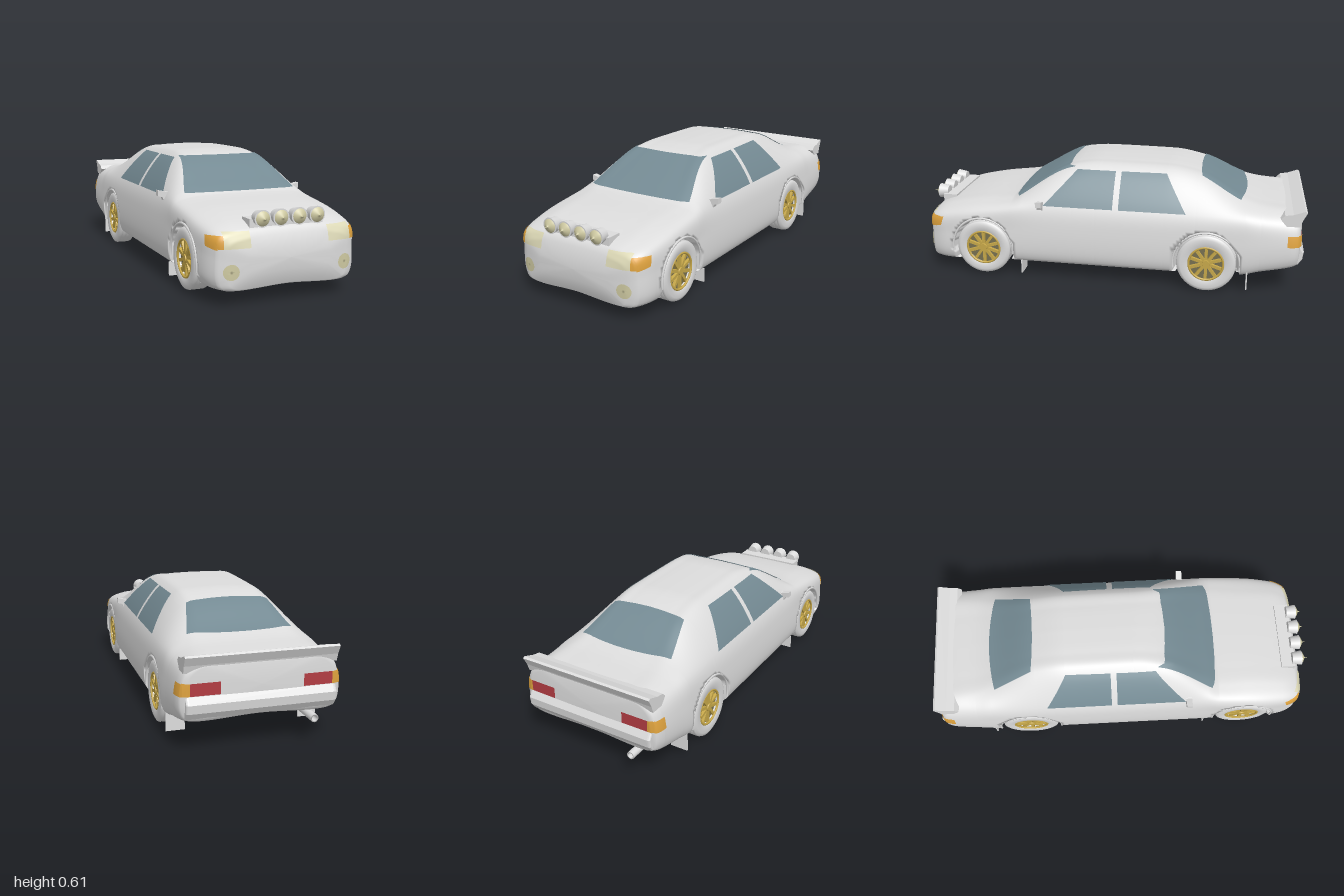
import * as THREE from 'three';

const paint = (name, color, side = THREE.FrontSide) => {
  const m = new THREE.MeshStandardMaterial({ color, side });
  m.name = name;
  return m;
};
const lerp = THREE.MathUtils.lerp;

// Body stations: z, floor y, half width, shoulder x, shoulder y, roof edge x, roof edge y, top y
const STATIONS = [
  [0.97, 0.15, 0.2, 0.2, 0.22, 0.14, 0.24, 0.25],
  [0.955, 0.085, 0.29, 0.285, 0.27, 0.2, 0.295, 0.305],
  [0.93, 0.075, 0.335, 0.325, 0.3, 0.25, 0.325, 0.335],
  [0.85, 0.075, 0.365, 0.352, 0.32, 0.27, 0.355, 0.365],
  [0.7, 0.08, 0.378, 0.362, 0.35, 0.27, 0.385, 0.395],
  [0.5, 0.09, 0.378, 0.36, 0.38, 0.28, 0.41, 0.42],
  [0.44, 0.09, 0.378, 0.357, 0.39, 0.28, 0.44, 0.455],
  [0.17, 0.09, 0.378, 0.352, 0.4, 0.215, 0.578, 0.592],
  [0.05, 0.09, 0.378, 0.352, 0.4, 0.205, 0.59, 0.606],
  [-0.3, 0.09, 0.378, 0.352, 0.4, 0.205, 0.586, 0.603],
  [-0.46, 0.09, 0.378, 0.352, 0.4, 0.205, 0.56, 0.575],
  [-0.7, 0.1, 0.378, 0.352, 0.395, 0.25, 0.452, 0.462],
  [-0.78, 0.12, 0.376, 0.35, 0.385, 0.27, 0.432, 0.442],
  [-0.92, 0.15, 0.37, 0.345, 0.375, 0.28, 0.418, 0.425],
  [-0.965, 0.165, 0.358, 0.335, 0.37, 0.28, 0.408, 0.415],
  [-0.975, 0.19, 0.335, 0.322, 0.35, 0.27, 0.39, 0.395],
];
const WHEELS = [{ z: 0.645, r: 0.145, y: 0.156 }, { z: -0.52, r: 0.15, y: 0.15 }];

// Monotone cubic interpolation between stations
function station(z) {
  const S = STATIONS, last = S.length - 1;
  let i = 0;
  while (i < last - 1 && z < S[i + 1][0]) i++;
  const slope = (k, c) => (S[k + 1][c] - S[k][c]) / (S[k + 1][0] - S[k][0]);
  const tangent = (k, c) => {
    if (k === 0) return slope(0, c);
    if (k === last) return slope(last - 1, c);
    const a = slope(k - 1, c), b = slope(k, c);
    return a * b <= 0 ? 0 : (2 * a * b) / (a + b);
  };
  const h = S[i + 1][0] - S[i][0], t = (z - S[i][0]) / h, t2 = t * t, t3 = t2 * t;
  return S[i].map((v, c) => (2 * t3 - 3 * t2 + 1) * v + (t3 - 2 * t2 + t) * h * tangent(i, c)
    + (3 * t2 - 2 * t3) * S[i + 1][c] + (t3 - t2) * h * tangent(i + 1, c));
}

// Lofted shell, pressed in around each wheel to make the wheel wells
function bodyGeometry() {
  const zs = STATIONS.map(s => s[0]);
  for (let i = 1; i < 125; i++) zs.push(lerp(0.955, -0.965, i / 125));
  zs.sort((a, b) => b - a);
  const HALF = 63, M = HALF * 2, pos = [], idx = [];
  const cap = (z, y) => { for (let j = 0; j < M; j++) pos.push(0, y, z); };
  cap(0.972, 0.2);
  for (const z of zs) {
    const [, yb, w, sx, sy, ex, ey, yt] = station(z);
    const curve = new THREE.CatmullRomCurve3([
      [0, yb], [w * 0.93, yb], [w, yb + 0.035], [w + 0.003, lerp(yb, sy, 0.6)],
      [sx, sy], [ex, ey], [ex * 0.6, lerp(ey, yt, 0.75)], [0, yt],
    ].map(([x, y]) => new THREE.Vector3(x, y, 0)), false, 'centripetal');
    for (let j = 0; j < M; j++) {
      const p = curve.getPoint((j <= HALF ? j : M - j) / HALF);
      if (WHEELS.some(q => Math.hypot(z - q.z, p.y - q.y) < q.r + 0.014)) p.x = Math.min(p.x, 0.265);
      pos.push(j <= HALF ? p.x : -p.x, p.y, z);
    }
  }
  cap(-0.977, 0.3);
  for (let i = 0; i < zs.length + 1; i++) for (let j = 0; j < M; j++) {
    const k = (j + 1) % M, a = i * M + j, b = i * M + k;
    idx.push(a, a + M, b, b, a + M, b + M);
  }
  const g = new THREE.BufferGeometry();
  g.setAttribute('position', new THREE.Float32BufferAttribute(pos, 3));
  g.setIndex(idx);
  g.computeVertexNormals();
  return g;
}

export function createModel() {
  const car = new THREE.Group();
  const D = THREE.DoubleSide;
  const white = paint('bodyWhite', 0xdcdcdc), glass = paint('tintedGlass', 0x748a93, D);
  const headlight = paint('paleHeadlight', 0xdcd8b6, D), lens = paint('lampLens', 0xcfcaa2, D);
  const amber = paint('amber', 0xdea23e, D), red = paint('tailRed', 0xb23c42, D);
  const gold = paint('wheelGold', 0xc8a94a), shade = paint('rimShade', 0x777050);

  const add = (name, geo, mat, x = 0, y = 0, z = 0, parent = car) => {
    const m = new THREE.Mesh(geo, mat);
    m.name = name;
    m.position.set(x, y, z);
    parent.add(m);
    return m;
  };
  const box = (w, h, d) => new THREE.BoxGeometry(w, h, d);
  const body = add('body', bodyGeometry(), white);

  // Thin patch laid on the body: (u, v) -> 2D point, projected along an axis
  const ray = new THREE.Raycaster();
  const VIEWS = {
    front: (a, b) => [[a, b, 2], [0, 0, -1]], back: (a, b) => [[a, b, -2], [0, 0, 1]], top: (a, b) => [[a, 2, b], [0, -1, 0]],
    left: (a, b) => [[2, b, a], [-1, 0, 0]], right: (a, b) => [[-2, b, a], [1, 0, 0]],
  };
  function decal(name, mat, view, fn, nu = 10, nv = 10) {
    const pos = [], ok = [], idx = [];
    for (let i = 0; i <= nu; i++) for (let j = 0; j <= nv; j++) {
      const [o, d] = VIEWS[view](...fn(i / nu, j / nv));
      ray.set(new THREE.Vector3(...o), new THREE.Vector3(...d));
      const hit = ray.intersectObject(body)[0];
      ok.push(!!hit);
      const p = hit ? hit.point.addScaledVector(hit.face.normal, 0.004) : new THREE.Vector3();
      pos.push(p.x, p.y, p.z);
    }
    for (let i = 0; i < nu; i++) for (let j = 0; j < nv; j++) {
      const a = i * (nv + 1) + j, b = a + nv + 1;
      if (!(ok[a] && ok[a + 1] && ok[b] && ok[b + 1])) continue;
      // Keep the visible face outward
      const P = k => new THREE.Vector3().fromArray(pos, k * 3);
      const n = P(b).sub(P(a)).cross(P(a + 1).sub(P(a)));
      const dir = new THREE.Vector3(...VIEWS[view](0, 0)[1]);
      if (n.dot(dir) < 0) idx.push(a, b, a + 1, a + 1, b, b + 1);
      else idx.push(a, a + 1, b, a + 1, b + 1, b);
    }
    const g = new THREE.BufferGeometry();
    g.setAttribute('position', new THREE.Float32BufferAttribute(pos, 3));
    g.setIndex(idx);
    g.computeVertexNormals();
    add(name, g, mat);
  }
  // Four corners: bottom start, bottom end, top end, top start
  const quad = (p, q, r, s) => (u, v) => [0, 1].map(c => lerp(lerp(p[c], q[c], u), lerp(s[c], r[c], u), v));
  const rect = (a0, a1, b0, b1) => quad([a0, b0], [a1, b0], [a1, b1], [a0, b1]);

  // Glass
  decal('windscreen', glass, 'front', quad([-0.295, 0.425], [0.295, 0.425], [0.215, 0.578], [-0.215, 0.578]), 24, 14);
  decal('rearWindow', glass, 'top', (u, v) => {
    const s = u * 2 - 1;
    return [s * lerp(0.2, 0.255, v), lerp(-0.465, -0.705, v) + s * s * lerp(-0.01, 0.03, v)];
  }, 20, 14);
  for (const side of ['left', 'right']) {
    decal('frontSideWindow', glass, side, quad([-0.04, 0.4], [0.32, 0.4], [0.16, 0.568], [-0.04, 0.568]), 14, 12);
    decal('rearSideWindow', glass, side, quad([-0.41, 0.4], [-0.07, 0.4], [-0.07, 0.568], [-0.3, 0.568]), 14, 12);
    decal('frontIndicatorSide', amber, side, quad([0.875, 0.262], [0.935, 0.25], [0.925, 0.305], [0.86, 0.308]));
    decal('rearIndicatorSide', amber, side, rect(-0.968, -0.91, 0.27, 0.325));
  }

  for (const s of [-1, 1]) {
    // Painted lamps
    decal('headlight', headlight, 'front', rect(s * 0.19, s * 0.308, 0.255, 0.323));
    decal('frontIndicator', amber, 'front', rect(s * 0.308, s * 0.35, 0.255, 0.308));
    decal('fogLamp', lens, 'front', (u, v) => [s * 0.278 + 0.035 * u * Math.cos(v * Math.PI * 2),
      0.155 + 0.035 * u * Math.sin(v * Math.PI * 2)], 4, 24);
    decal('tailLamp', red, 'back', rect(s * 0.19, s * 0.325, 0.272, 0.328));
    decal('rearIndicator', amber, 'back', rect(s * 0.325, s * 0.355, 0.272, 0.328));

    // Door mirror
    const outline = [[0.32, 0.425], [0.345, 0.42], [0.39, 0.43], [0.39, 0.402], [0.368, 0.396], [0.357, 0.372], [0.335, 0.372]];
    const mirror = new THREE.Shape(outline.map(([x, y]) => new THREE.Vector2(s * x, y)));
    add('doorMirror', new THREE.ExtrudeGeometry(mirror, { depth: 0.03, bevelEnabled: false }), white, 0, 0, 0.32);

    // Mud flaps
    add('frontMudFlap', box(0.09, 0.07, 0.006), white, s * 0.325, 0.06, 0.44);
    add('rearMudFlap', box(0.09, 0.12, 0.006), white, s * 0.325, 0.085, -0.725);

    for (const { z, r, y } of WHEELS) {
      // Arch lip
      const arch = new THREE.TorusGeometry(r + 0.018, 0.006, 6, 36, Math.PI * 1.1);
      arch.rotateZ(-Math.PI * 0.05).rotateY(Math.PI / 2);
      add('wheelArch', arch, white, s * 0.376, y, z);

      // Wheel, built about +y and turned so that +y points outwards
      const wheel = new THREE.Group();
      wheel.name = 'wheel';
      wheel.position.set(s * 0.328, y, z);
      wheel.rotation.z = -s * Math.PI / 2;
      car.add(wheel);
      const profile = [[0.088, -0.045], [r - 0.02, -0.048], [r - 0.004, -0.04]];
      for (const g of [-0.024, 0, 0.024])
        profile.push([r, g - 0.006], [r - 0.007, g - 0.003], [r - 0.007, g + 0.003], [r, g + 0.006]);
      profile.push([r - 0.004, 0.04], [r - 0.02, 0.048], [0.095, 0.046], [0.088, 0.036], [0.088, -0.045]);
      const tyre = new THREE.LatheGeometry(profile.map(p => new THREE.Vector2(...p)), 48);
      add('tyre', tyre, white, 0, 0, 0, wheel);
      add('rimBack', new THREE.CylinderGeometry(0.089, 0.089, 0.06, 32), shade, 0, -0.005, 0, wheel);
      const ring = new THREE.TorusGeometry(0.087, 0.006, 8, 40).rotateX(Math.PI / 2);
      add('rimRing', ring, gold, 0, 0.04, 0, wheel);
      add('hub', new THREE.CylinderGeometry(0.018, 0.024, 0.02, 20), gold, 0, 0.034, 0, wheel);
      for (let k = 0; k < 10; k++) {
        const spoke = box(0.07, 0.014, 0.015).translate(0.052, 0.032, 0).rotateY(k * Math.PI / 5);
        add('spoke', spoke, gold, 0, 0, 0, wheel);
      }
    }
  }

  // Lamp bar on the bonnet
  add('lampBar', box(0.36, 0.042, 0.075), white, 0, 0.351, 0.89);
  for (const x of [-0.134, -0.045, 0.045, 0.134]) {
    add('lampShell', new THREE.CylinderGeometry(0.039, 0.03, 0.05, 28).rotateX(Math.PI / 2), white, x, 0.376, 0.935);
    const dome = [[0.033, 0], [0.026, 0.007], [0.012, 0.014], [0.003, 0.018], [0, 0.034]];
    add('lampLens', new THREE.LatheGeometry(dome.map(p => new THREE.Vector2(...p)), 24).rotateX(Math.PI / 2), lens, x, 0.376, 0.961);
  }

  // Boot spoiler, swept across the car
  const wing = new THREE.Shape([[-0.87, 0.405], [-0.89, 0.425], [-0.93, 0.432], [-0.985, 0.452], [-0.995, 0.445],
    [-0.975, 0.405], [-0.965, 0.37], [-0.9, 0.37]].map(p => new THREE.Vector2(...p)));
  const wingGeo = new THREE.ExtrudeGeometry(wing, { depth: 0.7, bevelEnabled: false });
  add('spoiler', wingGeo.rotateY(-Math.PI / 2), white, 0.35);

  // Rear bumper, swept the same way with softened edges
  const bumper = new THREE.Shape([[-0.94, 0.175], [-0.965, 0.175], [-0.982, 0.2], [-0.986, 0.235], [-0.97, 0.262], [-0.94, 0.262]]
    .map(p => new THREE.Vector2(...p)));
  const bumperGeo = new THREE.ExtrudeGeometry(bumper, { depth: 0.66, bevelSize: 0.008, bevelThickness: 0.015, bevelSegments: 3 });
  add('rearBumper', bumperGeo.rotateY(-Math.PI / 2), white, 0.33);

  // Exhaust pipe
  const pipe = [[0.012, 0], [0.019, 0], [0.019, 0.22], [0.013, 0.22], [0.012, 0]];
  const pipeGeo = new THREE.LatheGeometry(pipe.map(p => new THREE.Vector2(...p)), 20).rotateX(-Math.PI / 2);
  add('exhaust', pipeGeo, white, -0.24, 0.122, -0.775);
  return car;
}
